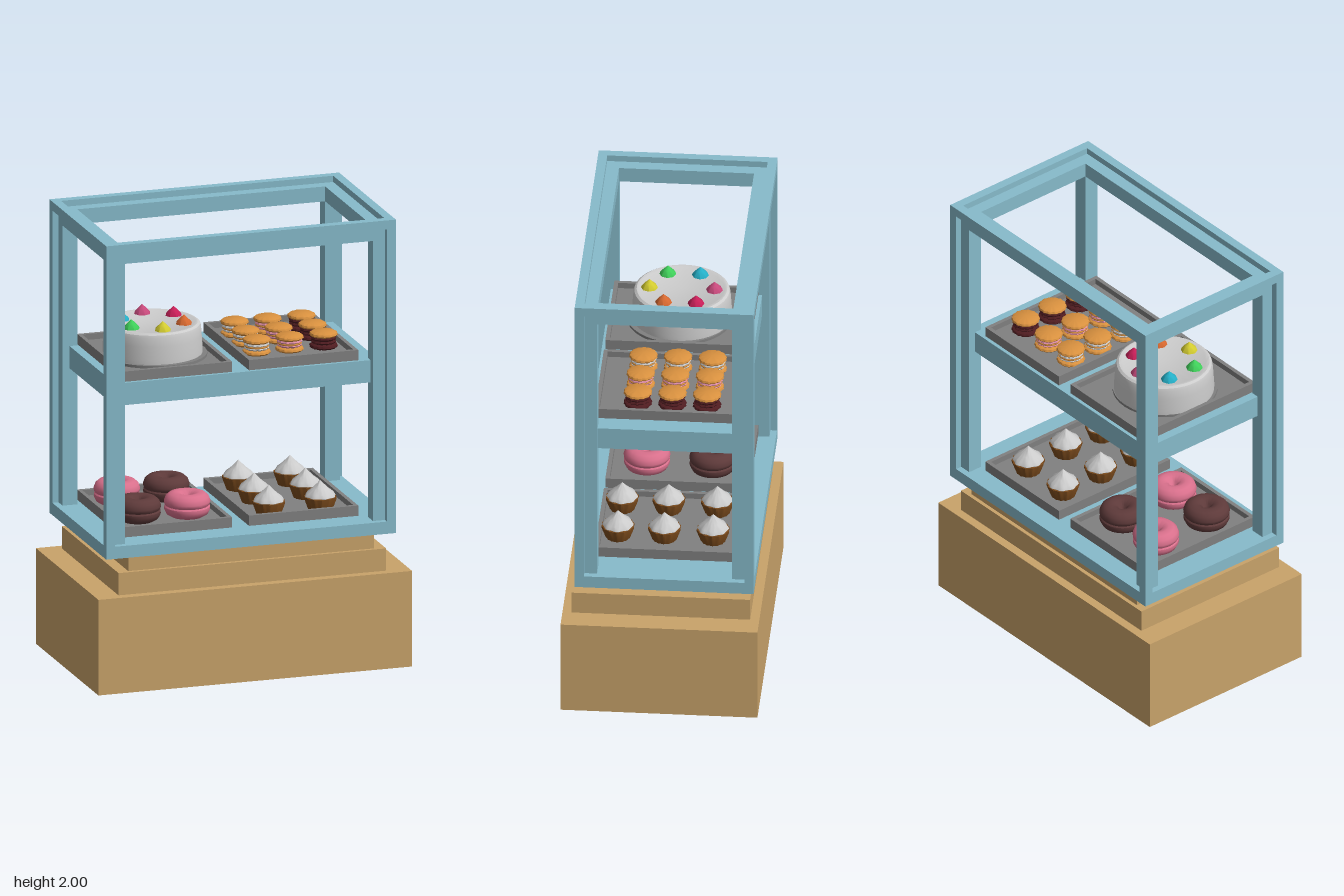
import * as THREE from 'three';
import { toCreasedNormals } from 'three/addons/utils/BufferGeometryUtils.js';

const mat = (color) => new THREE.MeshStandardMaterial({ color });
const WOOD = mat(0xc9a36a), BLUE = mat(0x87bbcb), STEEL = mat(0x808080), CREAM = mat(0xcccccc);
const CRUST = mat(0xd9913f), CUP = mat(0x7a4a1c), PINK = mat(0xd9708c), COCOA = mat(0x5e3a3a);
const JAM = mat(0x4f1c20), ROSE = mat(0xe08fa8);

export function createModel() {
  const root = new THREE.Group();

  const group = (name, parent = root, x = 0, y = 0, z = 0) => {
    const g = new THREE.Group();
    g.name = name;
    g.position.set(x, y, z);
    parent.add(g);
    return g;
  };
  const add = (parent, name, geo, material, x = 0, y = 0, z = 0) => {
    const m = new THREE.Mesh(geo, material);
    m.name = name;
    m.position.set(x, y, z);
    parent.add(m);
    return m;
  };
  // box given by its limits on each axis
  const box = (parent, name, material, x0, x1, y0, y1, z0, z1) =>
    add(parent, name, new THREE.BoxGeometry(x1 - x0, y1 - y0, z1 - z0), material,
      (x0 + x1) / 2, (y0 + y1) / 2, (z0 + z1) / 2);
  // turned body from [radius, height] points, with optional flutes round the side
  const turned = (pts, segs = 32, flutes = 0, depth = 0) => {
    const geo = new THREE.LatheGeometry(pts.map(([r, y]) => new THREE.Vector2(r, y)), segs);
    const p = geo.attributes.position;
    if (flutes) for (let i = 0; i < p.count; i++) {
      const k = 1 + depth * Math.cos(flutes * Math.atan2(p.getZ(i), p.getX(i)));
      p.setXYZ(i, p.getX(i) * k, p.getY(i), p.getZ(i) * k);
    }
    return toCreasedNormals(geo, 0.6);
  };

  // stepped wooden base
  const base = group('base');
  box(base, 'plinth', WOOD, -0.715, 0.715, 0, 0.43, -0.427, 0.427);
  box(base, 'middleStep', WOOD, -0.61, 0.61, 0.43, 0.53, -0.387, 0.387);
  box(base, 'upperStep', WOOD, -0.56, 0.56, 0.53, 0.59, -0.37, 0.37);

  // open cabinet: outer bars along the edges, with recessed inner bars behind them
  const cab = group('cabinet', root, 0, 0, -0.018);
  const X = 0.66, Z = 0.388, TOP = 2;
  box(cab, 'cabinetFloor', BLUE, -X, X, 0.59, 0.645, -Z, Z);
  for (const [name, a, b] of [['outer', 0, 0.04], ['inner', 0.028, 0.095]]) {
    for (const s of [-1, 1]) {
      const w = b - a, mid = (a + b) / 2;
      add(cab, name + 'TopRail', new THREE.BoxGeometry(2 * (X - a), w, w), BLUE, 0, TOP - mid, s * (Z - mid));
      add(cab, name + 'SideRail', new THREE.BoxGeometry(w, w, 2 * (Z - a)), BLUE, s * (X - mid), TOP - mid, 0);
      for (const t of [-1, 1])
        add(cab, name + 'Post', new THREE.BoxGeometry(w, TOP - a - 0.64, w), BLUE,
          s * (X - mid), (TOP - a + 0.64) / 2, t * (Z - mid));
    }
  }
  box(cab, 'shelf', BLUE, -0.6, 0.6, 1.26, 1.36, -0.328, 0.328);

  // trays with a raised rim
  const tray = (name, x, y) => {
    const g = group(name, root, x, y, -0.018);
    const hx = 0.249, hz = 0.312, t = 0.018, h = 0.046;
    box(g, 'trayFloor', STEEL, -hx, hx, 0, 0.02, -hz, hz);
    for (const s of [-1, 1]) {
      add(g, 'trayLongRim', new THREE.BoxGeometry(t, h, 2 * hz), STEEL, s * (hx - t / 2), h / 2, 0);
      add(g, 'trayShortRim', new THREE.BoxGeometry(2 * hx, h, t), STEEL, 0, h / 2, s * (hz - t / 2));
    }
  };
  tray('upperCakeTray', -0.31, 1.36);
  tray('upperCookieTray', 0.265, 1.36);
  tray('lowerDonutTray', -0.31, 0.66);
  tray('lowerTartTray', 0.265, 0.66);

  // iced cake with a ring of coloured drops
  const cake = group('cake', root, -0.32, 1.38, -0.018);
  add(cake, 'cakePlate', new THREE.CylinderGeometry(0.228, 0.228, 0.012, 40), STEEL, 0.006, 0.006, 0.01);
  add(cake, 'cakeBody', turned([[0, 0.01], [0.217, 0.01], [0.217, 0.03], [0.213, 0.09], [0.21, 0.128],
    [0.206, 0.14], [0.196, 0.147], [0.186, 0.147], [0.18, 0.144], [0, 0.144]], 48), CREAM);
  const drop = turned([[0, 0], [0.037, 0], [0.034, 0.01], [0.018, 0.026], [0, 0.044]], 8);
  [0xd6682f, 0xd3cc30, 0x3fd05a, 0x25b0c8, 0xc84a7c, 0xc81f58].forEach((c, i) => {
    const a = Math.PI / 6 + i * Math.PI / 3;
    add(cake, 'icingDrop', drop, mat(c), 0.138 * Math.cos(a), 0.142, 0.141 * Math.sin(a));
  });

  // sandwich cookies, a different filling in each column
  const wafer = turned([[0, 0], [0.054, 0], [0.061, 0.007], [0.058, 0.015], [0.045, 0.022], [0, 0.024]], 56, 14, 0.03);
  const filling = turned([[0, 0], [0.046, 0], [0.054, 0.008], [0.049, 0.016], [0.055, 0.024], [0.05, 0.034], [0, 0.034]], 48, 12, 0.04);
  const creamLine = new THREE.TorusGeometry(0.05, 0.005, 6, 28).rotateX(Math.PI / 2);
  [[0.11, CREAM], [0.26, ROSE], [0.415, JAM]].forEach(([x, fill]) => {
    for (const z of [-0.185, -0.035, 0.115]) {
      const g = group('cookie', root, x, 1.38, z);
      add(g, 'cookieBottom', wafer, fill === JAM ? JAM : CRUST);
      add(g, 'cookieFilling', filling, fill, 0, 0.02, 0);
      if (fill !== JAM) add(g, 'fillingLine', creamLine, CRUST, 0, 0.036, 0);
      add(g, 'cookieTop', wafer, CRUST, 0, 0.052, 0);
    }
  });

  // round donuts with a dimple and a seam round the middle
  const donut = turned([[0, 0.025], [0.02, 0.012], [0.045, 0.002], [0.07, 0.002], [0.09, 0.014], [0.1, 0.034],
    [0.099, 0.046], [0.094, 0.052], [0.099, 0.058], [0.101, 0.07], [0.094, 0.09], [0.078, 0.104], [0.055, 0.109],
    [0.035, 0.104], [0.02, 0.092], [0.01, 0.075], [0, 0.07]], 36);
  for (const [x, z, m] of [[-0.435, 0.125, COCOA], [-0.21, 0.125, PINK], [-0.435, -0.16, PINK], [-0.21, -0.16, COCOA]])
    add(root, 'donut', donut, m, x, 0.68, z);

  // cream tarts in fluted cups
  const cup = turned([[0, 0], [0.052, 0], [0.07, 0.05], [0.07, 0.058], [0.062, 0.06], [0, 0.06]], 56, 14, 0.03);
  const peak = turned([[0.062, 0], [0.066, 0.008], [0.058, 0.022], [0.036, 0.04], [0.016, 0.06], [0, 0.078]], 40, 8, 0.04);
  for (const x of [0.135, 0.37]) for (const z of [-0.208, 0.003, 0.205]) {
    const g = group('creamTart', root, x, 0.68, z);
    add(g, 'tartCup', cup, CUP);
    add(g, 'tartCream', peak, CREAM, 0, 0.053, 0);
  }

  return root;
}
